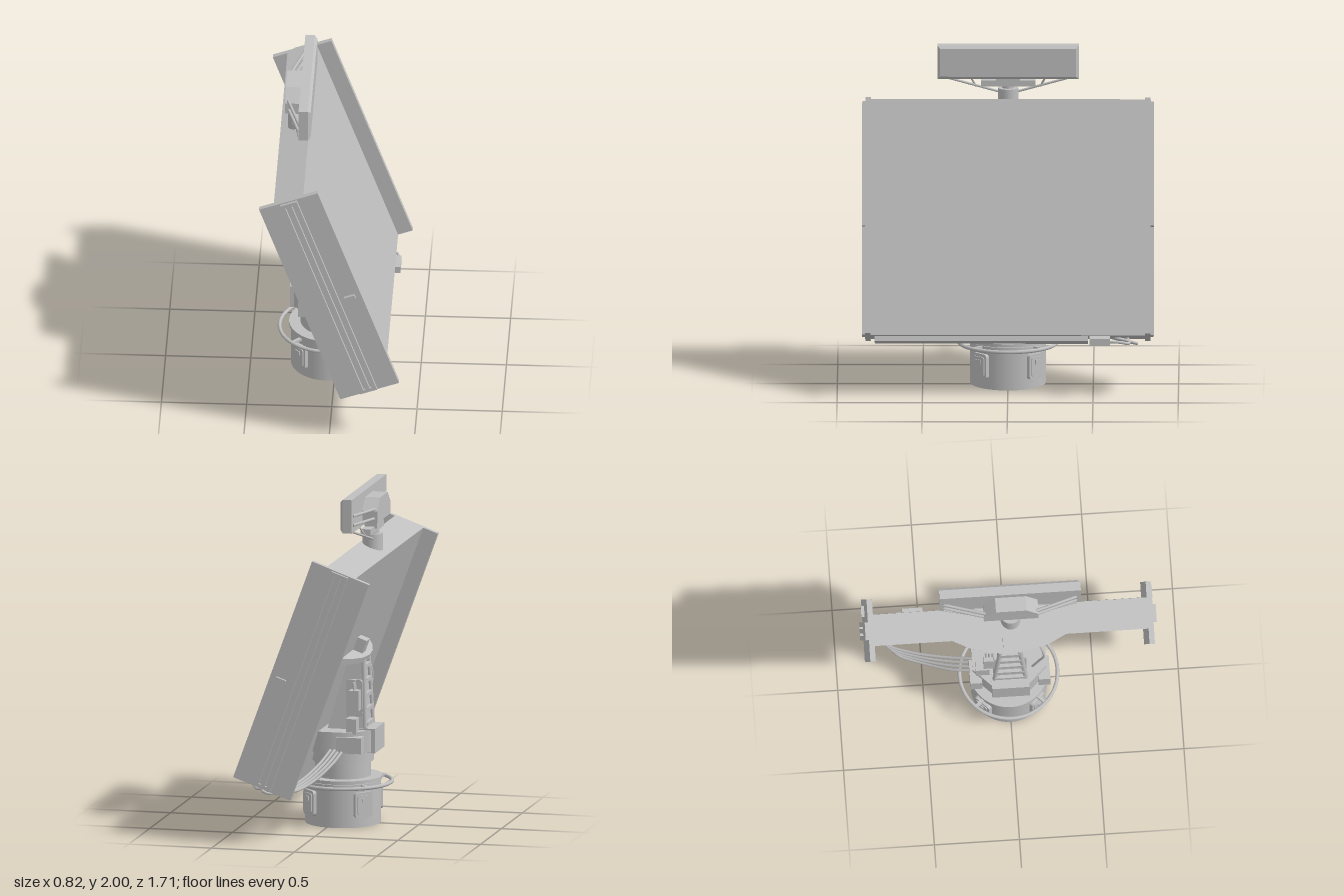
import * as THREE from 'three';

const steel = new THREE.MeshStandardMaterial({ color: 0xbfbfbf });
steel.name = 'radar grey';

export function createModel() {
  const root = new THREE.Group();
  root.name = 'radarUnit';

  const add = (name, geo, parent = root, pos = [0, 0, 0]) => {
    const m = new THREE.Mesh(geo, steel);
    m.name = name;
    m.position.set(...pos);
    parent.add(m);
    return m;
  };
  // box from min/max ranges
  const box = (name, [x0, x1], [y0, y1], [z0, z1], parent = root) =>
    add(name, new THREE.BoxGeometry(x1 - x0, y1 - y0, z1 - z0), parent,
      [(x0 + x1) / 2, (y0 + y1) / 2, (z0 + z1) / 2]);
  const drum = (name, r, y0, y1, x, sides = 40) =>
    add(name, new THREE.CylinderGeometry(r, r, y1 - y0, sides), root, [x, (y0 + y1) / 2, 0]);
  const tube = (name, pts, r = 0.009, parent = root) =>
    add(name, new THREE.TubeGeometry(new THREE.CatmullRomCurve3(
      pts.map(p => new THREE.Vector3(...p))), 28, r, 8), parent);
  const strut = (name, a, b, r) => {
    const A = new THREE.Vector3(...a), B = new THREE.Vector3(...b);
    const m = add(name, new THREE.CylinderGeometry(r, r, A.distanceTo(B), 8));
    m.position.copy(A).lerp(B, 0.5);
    m.quaternion.setFromUnitVectors(new THREE.Vector3(0, 1, 0), B.sub(A).normalize());
  };
  const polygon = pts => new THREE.Shape(pts.map(p => new THREE.Vector2(...p)));
  const roundRect = (w, h, r) => {
    const s = new THREE.Shape(), x = w / 2, y = h / 2;
    s.absarc(x - r, y - r, r, 0, Math.PI / 2);
    s.absarc(-x + r, y - r, r, Math.PI / 2, Math.PI);
    s.absarc(-x + r, -y + r, r, Math.PI, Math.PI * 1.5);
    s.absarc(x - r, -y + r, r, Math.PI * 1.5, Math.PI * 2);
    return s;
  };
  const extrude = (shape, depth) =>
    new THREE.ExtrudeGeometry(shape, { depth, bevelEnabled: false, curveSegments: 6 });

  // --- tilted antenna array, local x is its facing direction ---
  const array = new THREE.Group();
  array.name = 'antennaArray';
  array.position.set(0, 0.99, 0);
  array.rotation.z = THREE.MathUtils.degToRad(20);
  root.add(array);
  box('arrayPanel', [-0.092, 0.092], [-0.697, 0.697], [-0.805, 0.805], array);
  box('bottomLedge', [-0.09, 0.045], [-0.725, -0.69], [-0.47, 0.78], array);

  // end plates with slotted rails and handles
  const rail = polygon([[-0.055, -0.69], [0.05, -0.69], [0.05, 0.69], [-0.055, 0.69]]);
  for (const x of [-0.022, 0.018]) {
    const slot = new THREE.Path();
    slot.moveTo(x - 0.007, -0.67).lineTo(x - 0.007, 0.67).lineTo(x + 0.007, 0.67).lineTo(x + 0.007, -0.67);
    rail.holes.push(slot);
  }
  for (const s of [-1, 1]) {
    box('endPlate', [-0.183, 0.183], [-0.697, 0.697], [s * 0.82 - 0.016, s * 0.82 + 0.016], array);
    add('slottedRail', extrude(rail, 0.02), array, [0, 0, s > 0 ? 0.835 : -0.855]);
    box('plateHandle', [0.082, 0.147], [-0.056, -0.03], [s * 0.845 - 0.01, s * 0.845 + 0.01], array);
  }

  // curved elevation sector behind the array
  const sector = new THREE.Shape();
  sector.moveTo(-0.36, 0.08);
  sector.lineTo(0.36, 0.08);
  sector.quadraticCurveTo(0, 0.295, -0.36, 0.08);
  const sectorGeo = extrude(sector, 0.035);
  sectorGeo.rotateX(-Math.PI / 2).rotateY(Math.PI / 2);
  add('elevationSector', sectorGeo, array, [0, 0.045, 0]);
  box('sectorLug', [-0.15, -0.09], [0.05, 0.16], [-0.04, 0.04], array);

  // --- pedestal ---
  const cx = -0.043;
  drum('baseDrum', 0.222, 0, 0.255, cx, 48);
  drum('baseFlange', 0.232, 0.26, 0.28, cx, 48);
  drum('flangeNeck', 0.21, 0.25, 0.265, cx);
  drum('lowerNeck', 0.165, 0.28, 0.38, cx);
  drum('bearingRing', 0.18, 0.37, 0.44, cx);
  const collar = drum('turntable', 0.235, 0.44, 0.57, cx, 8);
  collar.rotation.y = Math.PI / 8;
  box('turntableCabinet', [-0.265, -0.1], [0.435, 0.58], [-0.11, 0.11]);
  for (const s of [-1, 1])
    box('turntableSideBox', [-0.21, -0.06], [0.45, 0.545], [s * 0.2 - 0.035, s * 0.2 + 0.035]);

  const guard = add('guardRing', new THREE.TorusGeometry(0.288, 0.011, 10, 56), root, [cx, 0.245, 0]);
  guard.rotation.x = Math.PI / 2;

  // hatches and ring brackets around the base
  for (let i = 0; i < 4; i++) {
    const station = new THREE.Group();
    station.name = 'baseStation';
    station.position.x = cx;
    station.rotation.y = Math.PI / 4 + i * Math.PI / 2;
    root.add(station);
    add('baseHatch', extrude(roundRect(0.115, 0.15, 0.02), 0.03), station, [0, 0.135, 0.208]);
    add('hatchCover', extrude(roundRect(0.085, 0.115, 0.012), 0.006), station, [0, 0.135, 0.238]);
    box('hatchLatch', [-0.018, 0.018], [0.15, 0.175], [0.243, 0.25], station);
    box('ringBracket', [-0.01, 0.01], [0.237, 0.253], [0.2, 0.288], station);
  }

  // leaning tower, narrower at the top
  const tower = new THREE.BoxGeometry(0.15, 0.43, 0.2);
  const p = tower.attributes.position;
  for (let i = 0; i < p.count; i++) {
    if (p.getY(i) > 0) {
      p.setZ(i, p.getZ(i) * 0.6);
      p.setX(i, p.getX(i) > 0 ? 0.03 : -0.055);
    } else if (p.getX(i) > 0) p.setX(i, 0.15);
  }
  tower.computeVertexNormals();
  add('tower', tower, root, [-0.12, 0.77, 0]);

  // ladder frame on the tower's rear face
  for (let i = 0; i < 5; i++) {
    const y = 0.6 + i * 0.085, w = 0.092 - i * 0.0075, x = -0.193 + i * 0.004;
    box('ladderRung', [x - 0.02, x + 0.01], [y - 0.012, y + 0.012], [-w, w]);
  }
  for (const s of [-1, 1]) {
    strut('ladderRail', [-0.2, 0.57, s * 0.092], [-0.182, 0.98, s * 0.058], 0.014);
    add('towerSidePanel', extrude(roundRect(0.1, 0.22, 0.02), 0.02), root,
      [-0.135, 0.755, s > 0 ? 0.075 : -0.095]);
  }

  // service boxes on the side
  box('junctionBox', [-0.175, -0.115], [0.69, 0.81], [-0.155, -0.085]);
  box('junctionBoxLower', [-0.17, -0.11], [0.56, 0.65], [-0.2, -0.12]);
  for (const z of [-0.14, -0.12, -0.1])
    strut('boxConduit', [-0.145, 0.8, z], [-0.14, 0.86, z], 0.006);
  tube('towerCable', [[-0.14, 0.98, 0.17], [-0.17, 0.85, 0.2], [-0.15, 0.7, 0.17], [-0.13, 0.55, 0.13]], 0.007);

  // cables from the turntable to the lower corner of the array
  for (let i = 0; i < 4; i++) {
    const o = i * 0.025;
    tube('arrayCable', [[-0.1 + o, 0.47, -0.2], [-0.06 + o, 0.4, -0.34], [0.02 + o, 0.32, -0.5 - o],
      [0.1 + o, 0.29, -0.65 - o], [0.17 + o, 0.3, -0.68 - o], [0.2 + o, 0.33, -0.6 - o]]);
  }
  const plug = box('cableConnector', [0.28, 0.355], [0.31, 0.352], [-0.6, -0.48]);
  plug.name = 'cableConnector';
  box('connectorBracket', [0.18, 0.3], [0.31, 0.345], [-0.57, -0.5]);
  tube('connectorCable', [[0.335, 0.33, -0.59], [0.33, 0.325, -0.66], [0.29, 0.31, -0.71], [0.22, 0.33, -0.7]]);

  // --- upper auxiliary antenna ---
  drum('mastBase', 0.06, 1.6, 1.73, -0.222, 24);
  drum('mastNeck', 0.035, 1.72, 1.85, -0.225, 20);
  box('mastBracket', [-0.25, -0.19], [1.745, 1.78], [-0.16, 0.16]);
  box('mastBlock', [-0.265, -0.19], [1.77, 1.83], [-0.07, 0.07]);
  box('barBody', [-0.2, -0.145], [1.8, 2], [-0.415, 0.415]);
  const face = new THREE.BoxGeometry(0.016, 0.2, 0.83);
  const f = face.attributes.position;
  for (let i = 0; i < f.count; i++) if (f.getX(i) > 0) {
    f.setY(i, f.getY(i) * 0.84);
    f.setZ(i, f.getZ(i) * 0.96);
  }
  face.computeVertexNormals();
  add('barFace', face, root, [-0.137, 1.9, 0]);

  // chamfered drive housing behind the bar
  const housing = extrude(polygon([[-0.16, 1.82], [0.16, 1.82], [0.16, 1.89], [0.09, 1.96],
    [-0.09, 1.96], [-0.16, 1.89]]), 0.092);
  housing.rotateY(-Math.PI / 2);
  add('driveHousing', housing, root, [-0.198, 0, 0]);

  // bracing struts
  for (const s of [-1, 1]) {
    strut('lowerBrace', [-0.2, 1.805, s * 0.39], [-0.235, 1.705, s * 0.055], 0.007);
    strut('innerBrace', [-0.2, 1.8, s * 0.22], [-0.23, 1.74, s * 0.19], 0.006);
    for (const y of [1.845, 1.9])
      strut('rearBrace', [-0.2, y, s * 0.39], [-0.272, y, s * 0.15], 0.009);
  }
  return root;
}
